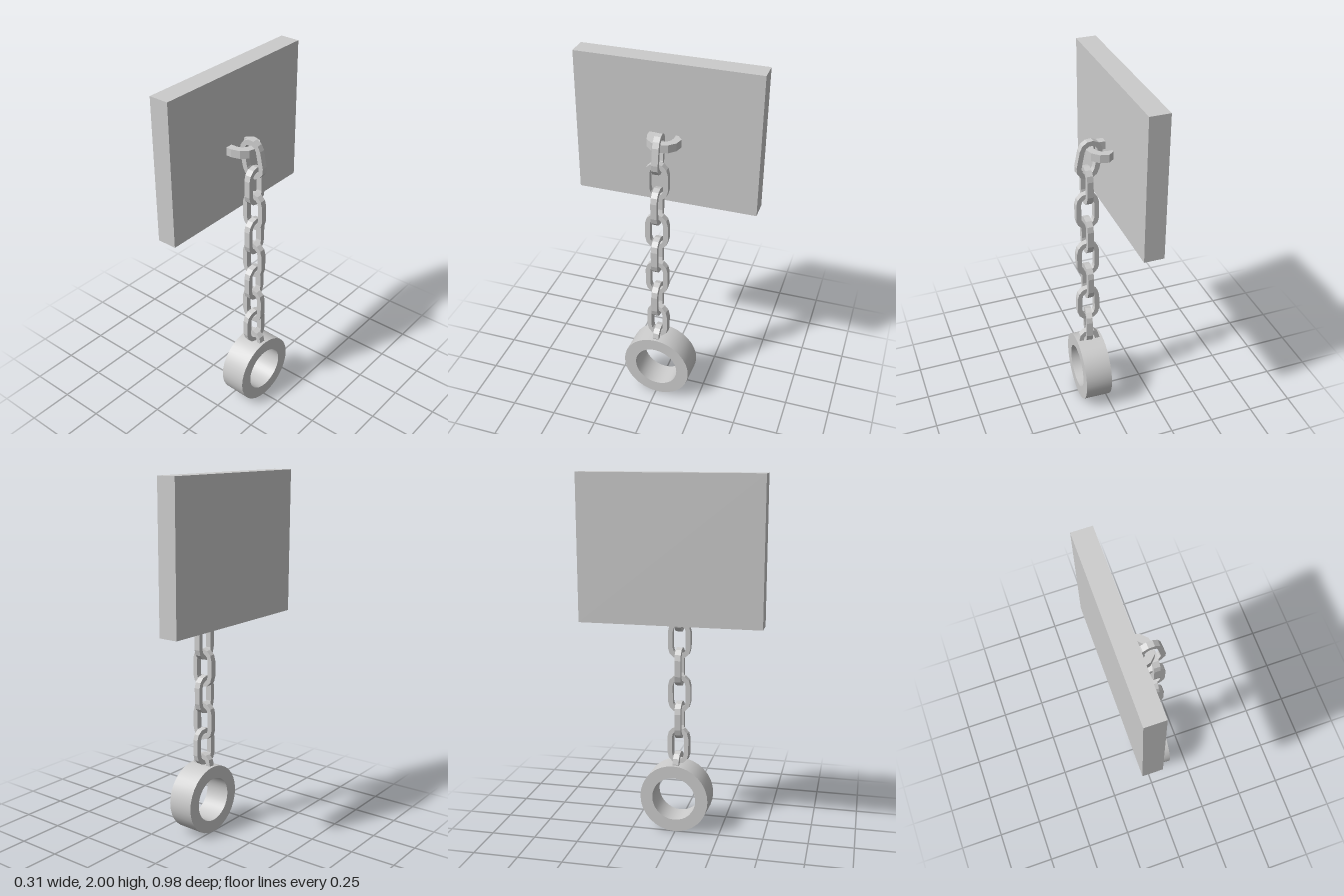
import * as THREE from 'three';
import { toCreasedNormals } from 'three/addons/utils/BufferGeometryUtils.js';

const smooth = new THREE.MeshStandardMaterial({ color: 0xcccccc });
const faceted = new THREE.MeshStandardMaterial({ color: 0xcccccc, flatShading: true });

function extrude(shape, depth, curveSegments) {
  const geo = new THREE.ExtrudeGeometry(shape, { depth, curveSegments, bevelEnabled: false });
  return geo.translate(0, 0, -depth / 2);
}

// Stadium outline: two half circles joined by straight sides
function stadium(path, r, half) {
  path.absarc(0, half, r, 0, Math.PI, false);
  path.absarc(0, -half, r, Math.PI, 2 * Math.PI, false);
  path.closePath();
  return path;
}

// U-shaped bar, opening downwards
function archShape(outer, inner, leg) {
  const s = new THREE.Shape();
  s.moveTo(outer, -leg);
  s.absarc(0, 0, outer, 0, Math.PI, false);
  s.lineTo(-outer, -leg);
  s.lineTo(-inner, -leg);
  s.absarc(0, 0, inner, Math.PI, 0, true);
  s.lineTo(inner, -leg);
  s.closePath();
  return s;
}

export function createModel() {
  const group = new THREE.Group();
  const add = (name, geo, mat, pos, rot = [0, 0, 0]) => {
    const mesh = new THREE.Mesh(geo, mat);
    mesh.name = name;
    mesh.position.set(...pos);
    mesh.rotation.set(...rot);
    group.add(mesh);
    return mesh;
  };

  // Wall slab and the staple fixed to it
  add('wallPlate', new THREE.BoxGeometry(0.108, 0.78, 0.98), faceted, [-0.099, 1.61, 0]);
  add('wallStaple', extrude(archShape(0.091, 0.05, 0.05), 0.044, 3), faceted,
    [-0.013, 1.593, 0], [Math.PI / 2, 0, -Math.PI / 2]);

  // Chain: links alternate by a quarter turn, the first hangs tilted on the staple
  const linkShape = stadium(new THREE.Shape(), 0.063, 0.045);
  linkShape.holes.push(stadium(new THREE.Path(), 0.036, 0.045));
  const linkGeo = extrude(linkShape, 0.034, 3);
  add('topLink', linkGeo, faceted, [0.062, 1.555, 0.008], [0, 0.05, 0.2]);
  for (let i = 0; i < 6; i++) {
    add('chainLink', linkGeo, faceted, [0.073, 1.406 - i * 0.1525, 0.01],
      [0, i % 2 ? 0 : Math.PI / 2, 0]);
  }
  add('bottomLink', linkGeo, faceted, [0.073, 0.494, 0.006], [0, Math.PI / 2 - 0.18, 0]);

  // Shackle ring with its eye
  add('shackleEye', extrude(archShape(0.06, 0.033, 0.04), 0.034, 3), faceted,
    [0.073, 0.395, 0.002], [0, -0.04, 0]);
  const ring = new THREE.Shape().absarc(0, 0, 0.195, 0, Math.PI * 2, false);
  ring.holes.push(new THREE.Path().absarc(0, 0, 0.125, 0, Math.PI * 2, true));
  add('shackleRing', toCreasedNormals(extrude(ring, 0.15, 16), 0.6), smooth,
    [0.071, 0.195, -0.005], [0, Math.PI / 2 - 0.04, 0]);

  return group;
}
